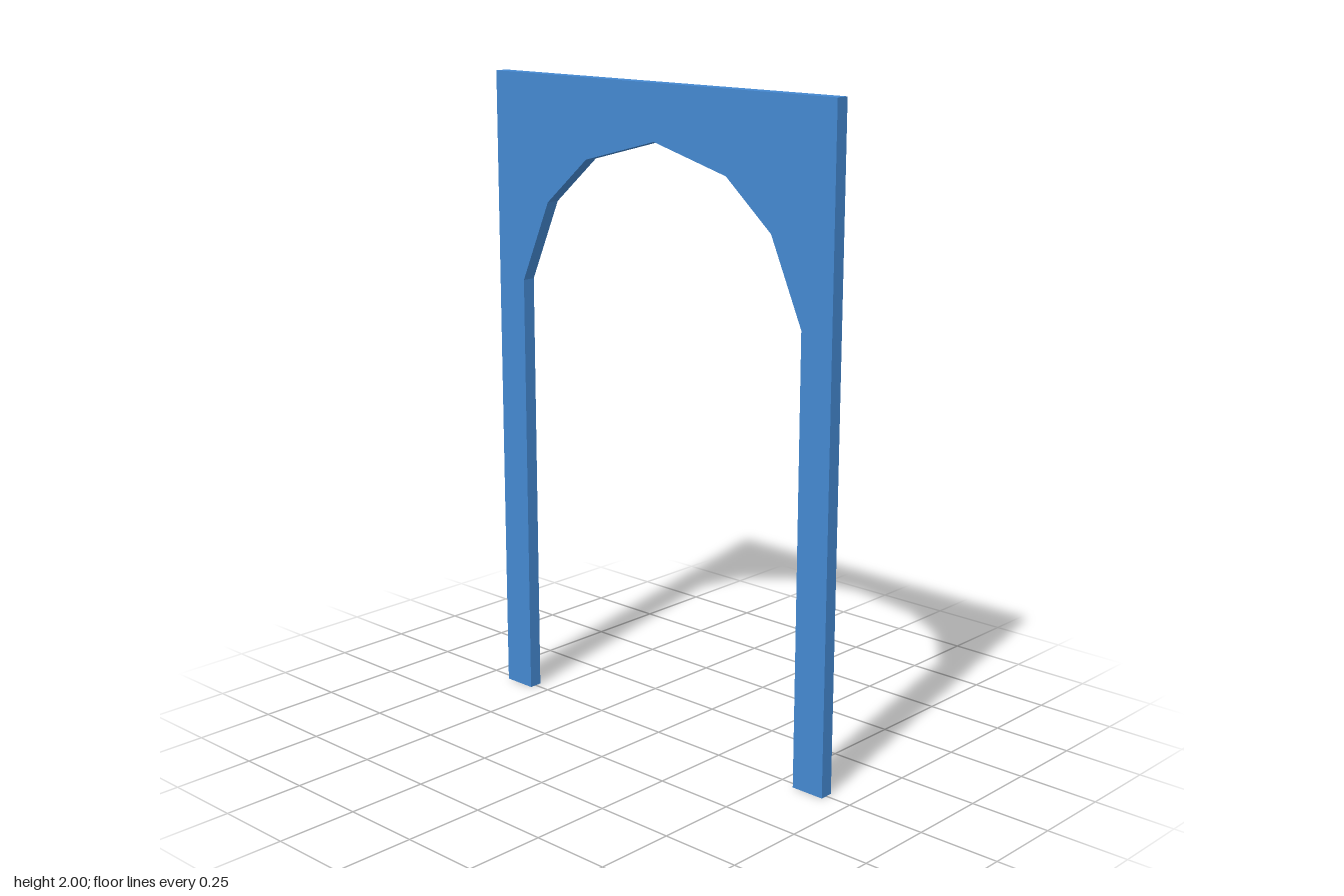
import * as THREE from 'three';

const WIDTH = 1.33, HEIGHT = 2, DEPTH = 0.042;

// Right half of the faceted opening, from the floor to the crown
const HALF_OPENING = [[0.557, 0], [0.557, 1.36], [0.444, 1.614], [0.277, 1.758], [0, 1.832]];

export function createModel() {
  const group = new THREE.Group();
  group.name = 'archway';

  // Rectangular outline, with the mirrored opening cut up from the floor
  const mirrored = HALF_OPENING.slice(0, -1).reverse().map(([x, y]) => [-x, y]);
  const outline = [
    [WIDTH / 2, 0], [WIDTH / 2, HEIGHT], [-WIDTH / 2, HEIGHT], [-WIDTH / 2, 0],
    ...[...HALF_OPENING, ...mirrored].reverse(),
  ];
  const shape = new THREE.Shape(outline.map(([x, y]) => new THREE.Vector2(x, y)));

  const geometry = new THREE.ExtrudeGeometry(shape, { depth: DEPTH, bevelEnabled: false });
  geometry.translate(0, 0, -DEPTH / 2);

  const material = new THREE.MeshStandardMaterial({ color: 0x4488d0, flatShading: true });
  const frame = new THREE.Mesh(geometry, material);
  frame.name = 'archFrame';
  group.add(frame);
  return group;
}
